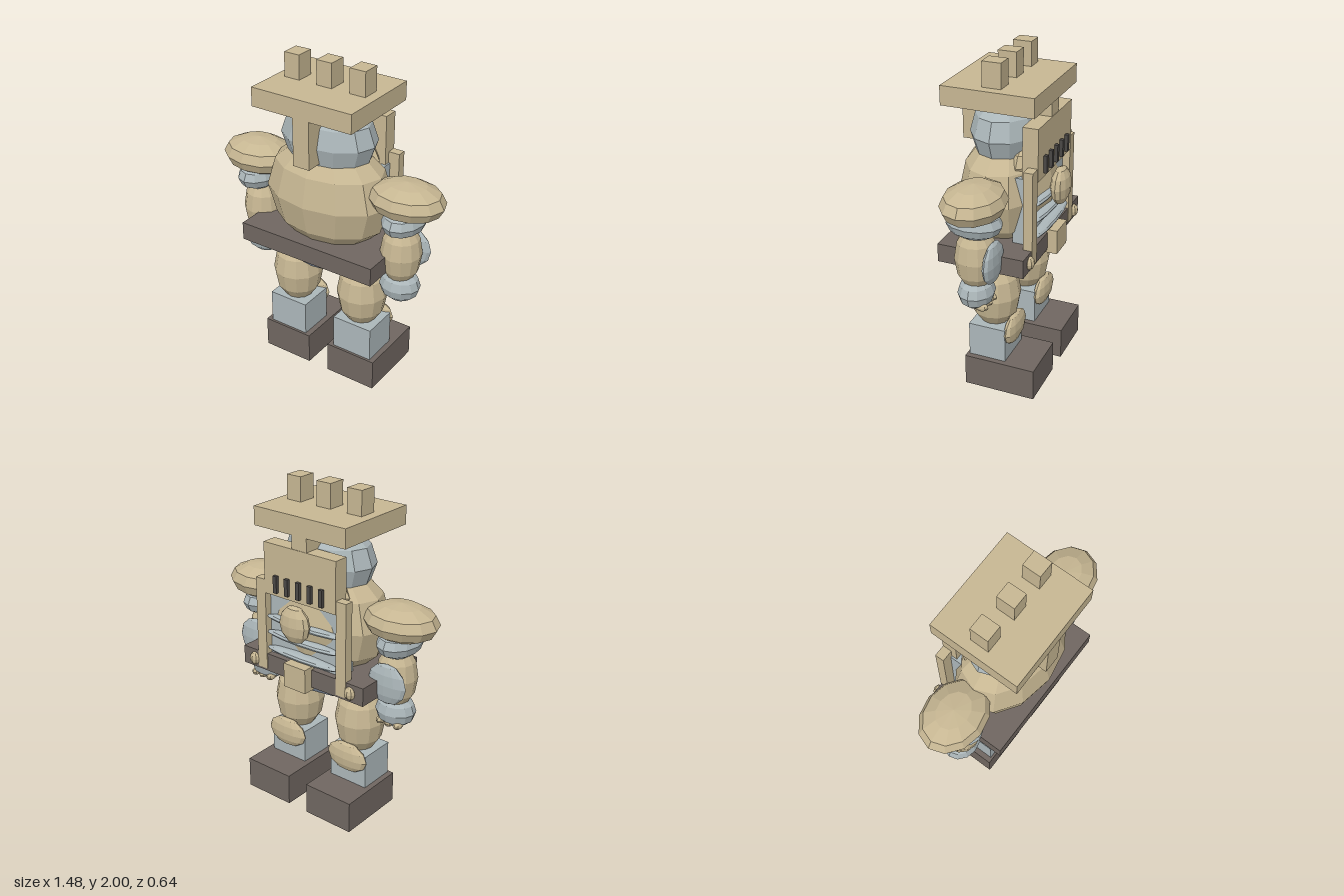
import * as THREE from 'three';

const mat = (name, color) => {
  const m = new THREE.MeshStandardMaterial({ color, flatShading: true });
  m.name = name;
  return m;
};

export function createModel() {
  const tan = mat('sandstone', 0xc6b692);
  const grey = mat('pale steel', 0xabb6b9);
  const slate = mat('slate', 0x7f8a9a);
  const brown = mat('dark leather', 0x6f6660);
  const dark = mat('dark slit', 0x4a4745);

  const model = new THREE.Group();
  model.name = 'armouredGolem';

  const add = (parent, name, geometry, material, pos) => {
    const mesh = new THREE.Mesh(geometry, material);
    mesh.name = name;
    mesh.position.set(...pos);
    parent.add(mesh);
    return mesh;
  };
  // Box given by its minimum and maximum corners
  const box = (parent, name, material, a, b) =>
    add(parent, name, new THREE.BoxGeometry(b[0] - a[0], b[1] - a[1], b[2] - a[2]), material,
      a.map((v, i) => (v + b[i]) / 2));
  // Low-poly ellipsoid given by its centre and radii
  const blob = (parent, name, material, pos, radii, segments = 12, rings = 6) =>
    add(parent, name, new THREE.SphereGeometry(1, segments, rings).scale(...radii), material, pos);

  // Body
  blob(model, 'torso', tan, [0, 1.2, 0.045], [0.4, 0.35, 0.27]);
  blob(model, 'pelvis', slate, [0, 0.845, 0.04], [0.36, 0.135, 0.225]);
  box(model, 'belt', brown, [-0.45, 0.845, -0.22], [0.45, 0.957, 0.305]);
  box(model, 'buckle', tan, [-0.08, 0.825, -0.28], [0.08, 0.975, -0.2]);

  // Chest plate with ribs and central boss
  box(model, 'chestPlate', grey, [-0.27, 0.86, -0.18], [0.27, 1.36, -0.08]);
  for (const y of [1.2, 1.1, 1.0]) {
    blob(model, 'chestRib', grey, [0, y, -0.2], [0.28, 0.024, 0.045], 12, 6);
  }
  blob(model, 'chestBoss', tan, [0, 1.235, -0.268], [0.105, 0.115, 0.055]);

  // Head, jaw and face plate
  blob(model, 'head', grey, [0, 1.55, 0.045], [0.3, 0.22, 0.21]);
  blob(model, 'jaw', tan, [0, 1.4, -0.09], [0.25, 0.13, 0.09]);
  box(model, 'facePlate', tan, [-0.26, 1.35, -0.228], [0.26, 1.66, -0.135]);
  for (let i = -2; i <= 2; i++) {
    box(model, 'faceSlit', dark, [i * 0.083 - 0.013, 1.375, -0.248], [i * 0.083 + 0.013, 1.478, -0.22]);
  }

  // Battlement crown
  box(model, 'crownPlate', tan, [-0.325, 1.742, -0.23], [0.325, 1.855, 0.32]);
  box(model, 'crownCrest', tan, [-0.053, 1.455, -0.225], [0.053, 1.75, 0.318]);
  for (const x of [-0.215, 0, 0.215]) {
    box(model, 'crownTooth', tan, [x - 0.05, 1.85, -0.015], [x + 0.05, 2, 0.097]);
  }

  // Mirrored sides
  for (const s of [1, -1]) {
    const side = s > 0 ? 'left' : 'right';
    const arm = new THREE.Group();
    arm.name = side + 'Arm';
    const leg = new THREE.Group();
    leg.name = side + 'Leg';
    model.add(arm, leg);

    box(model, side + 'ChestPost', tan,
      [s * 0.295 - 0.035, 0.86, -0.225], [s * 0.295 + 0.035, 1.43, -0.17]);
    blob(model, side + 'BeltStud', tan, [s * 0.36, 0.9, -0.222], [0.035, 0.04, 0.03], 8, 6);

    // Arm
    blob(arm, 'shoulder', tan, [s * 0.51, 1.295, 0.04], [0.232, 0.11, 0.18]);
    blob(arm, 'upperArm', grey, [s * 0.505, 1.17, 0.045], [0.12, 0.09, 0.165]);
    blob(arm, 'forearm', tan, [s * 0.49, 0.95, 0.045], [0.122, 0.2, 0.122]);
    blob(arm, 'bracer', grey, [s * 0.495, 0.94, -0.06], [0.13, 0.125, 0.035]);
    blob(arm, 'hand', grey, [s * 0.49, 0.735, 0.045], [0.125, 0.1, 0.105]);
    for (const dx of [-0.06, 0, 0.06]) {
      blob(arm, 'finger', tan, [s * 0.49 + dx, 0.672, -0.01], [0.026, 0.025, 0.042], 8, 6);
    }

    // Leg
    blob(leg, 'thigh', tan, [s * 0.235, 0.59, 0.045], [0.153, 0.225, 0.155]);
    box(leg, 'shin', grey, [s * 0.236 - 0.13, 0.19, -0.07], [s * 0.236 + 0.13, 0.41, 0.16]);
    blob(leg, 'kneePad', tan, [s * 0.236, 0.375, -0.08], [0.145, 0.095, 0.04]);
    box(leg, 'boot', brown, [s * 0.235 - 0.165, 0, -0.265], [s * 0.235 + 0.165, 0.197, 0.175]);
  }
  return model;
}
